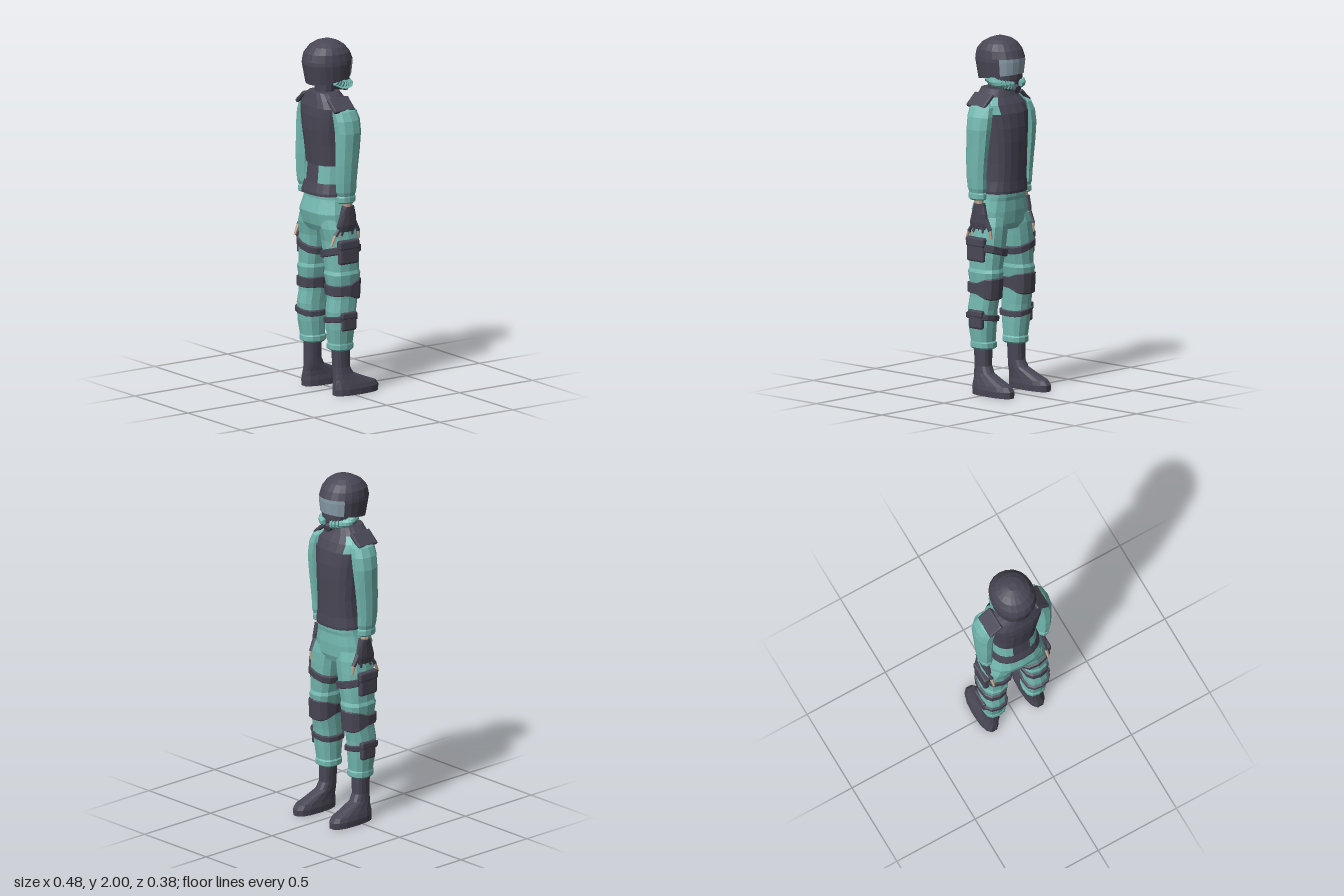
import * as THREE from 'three';
import { RoundedBoxGeometry } from 'three/addons/geometries/RoundedBoxGeometry.js';

const mat = (name, color) => {
  const m = new THREE.MeshStandardMaterial({ color, flatShading: true });
  m.name = name;
  return m;
};

// Closed skin over horizontal rings [y, centreX, radiusX, frontZ, backZ], listed bottom to top.
// pick(x, y, z) chooses a material index per face; warp(v) moves each corner.
function loft(rings, { n = 12, e = 2.3, pick = () => 0, warp = () => {} } = {}) {
  const pos = [], idx = [], geo = new THREE.BufferGeometry(), v = new THREE.Vector3();
  const pw = (t) => Math.sign(t) * Math.abs(t) ** (2 / e);
  for (const [y, cx, rx, zf, zb] of rings) {
    for (let j = 0; j < n; j++) {
      const a = (j / n) * Math.PI * 2;
      v.set(cx + rx * pw(Math.cos(a)), y, (zf + zb) / 2 + ((zb - zf) / 2) * pw(Math.sin(a)));
      warp(v);
      pos.push(v.x, v.y, v.z);
    }
  }
  const add = (m, ...f) => { geo.addGroup(idx.length, f.length, m); idx.push(...f); };
  for (let i = 0; i < rings.length - 1; i++) {
    for (let j = 0; j < n; j++) {
      const k = (j + 1) % n, a = i * n + j, b = i * n + k, c = a + n, d = b + n;
      const mid = [0, 1, 2].map((q) => (pos[a * 3 + q] + pos[b * 3 + q] + pos[c * 3 + q] + pos[d * 3 + q]) / 4);
      add(pick(...mid), a, c, b, b, c, d);
    }
  }
  const t = (rings.length - 1) * n;
  for (let j = 1; j < n - 1; j++) add(0, 0, j, j + 1, t, t + j + 1, t + j);
  geo.setIndex(idx);
  geo.setAttribute('position', new THREE.Float32BufferAttribute(pos, 3));
  const flat = geo.toNonIndexed();
  flat.computeVertexNormals();
  return flat;
}

// Tapered round segment between two points
function segment(a, b, r0, r1, sides = 6) {
  const p = new THREE.Vector3(...a), q = new THREE.Vector3(...b), d = q.clone().sub(p);
  const g = new THREE.CylinderGeometry(r1, r0, d.length(), sides);
  g.applyQuaternion(new THREE.Quaternion().setFromUnitVectors(new THREE.Vector3(0, 1, 0), d.normalize()));
  const c = p.add(q).multiplyScalar(0.5);
  return g.translate(c.x, c.y, c.z);
}

const LEG = [
  [0.255, 0.128, 0.056, -0.01, 0.108], [0.265, 0.128, 0.066, -0.022, 0.122], [0.29, 0.128, 0.066, -0.022, 0.122],
  [0.298, 0.13, 0.062, -0.016, 0.118], [0.38, 0.134, 0.068, -0.025, 0.13], [0.48, 0.135, 0.068, -0.035, 0.135],
  [0.55, 0.132, 0.066, -0.048, 0.125], [0.62, 0.13, 0.068, -0.058, 0.126], [0.69, 0.126, 0.08, -0.068, 0.138],
  [0.71, 0.124, 0.074, -0.06, 0.13], [0.78, 0.116, 0.082, -0.065, 0.132], [0.88, 0.106, 0.088, -0.068, 0.135],
  [0.95, 0.095, 0.088, -0.068, 0.15], [1.0, 0.085, 0.08, -0.06, 0.15],
];
function legAt(y) {
  const i = LEG.findIndex((r) => r[0] > y), a = LEG[i - 1], b = LEG[i], t = (y - a[0]) / (b[0] - a[0]);
  return a.map((v, k) => v + (b[k] - v) * t);
}

export function createModel() {
  const root = new THREE.Group();
  const dark = mat('charcoal', 0x494755), teal = mat('teal cloth', 0x74b9b1);
  const visor = mat('visor glass', 0x8b9fac), skin = mat('skin', 0xc0a690);
  const add = (name, geo, m) => {
    const mesh = new THREE.Mesh(geo, m);
    mesh.name = name;
    root.add(mesh);
    return mesh;
  };

  // Helmet with wraparound visor, facing -z
  add('helmet', loft([
    [1.755, 0, 0.114, -0.092, 0.168], [1.868, 0, 0.125, -0.1, 0.19], [1.888, 0, 0.124, -0.1, 0.189],
    [1.93, 0, 0.117, -0.082, 0.178], [1.966, 0, 0.095, -0.05, 0.145], [1.988, 0, 0.064, -0.016, 0.105],
    [2.0, 0, 0.025, 0.02, 0.07],
  ], {
    n: 20, e: 2.15,
    pick: (x, y, z) => (y < 1.885 && z < -0.035 ? 1 : 0),
    warp: (v) => { if (v.y < 1.8) v.y += (0.168 - v.z) * 0.17; },
  }), [dark, visor]);

  // Neck and breathing mask
  add('neck', loft([[1.64, 0, 0.07, 0.0, 0.14], [1.71, 0, 0.058, 0.01, 0.115], [1.8, 0, 0.06, -0.01, 0.12]]), dark);
  add('mask', loft([
    [1.705, 0, 0.03, -0.06, 0.0], [1.73, 0, 0.058, -0.078, 0.03], [1.77, 0, 0.085, -0.082, 0.05], [1.82, 0, 0.09, -0.08, 0.05],
  ]), dark);
  for (const s of [-1, 1]) {
    const hose = new THREE.CatmullRomCurve3([
      [0.088, 1.775, 0.05], [0.092, 1.752, 0.0], [0.066, 1.745, -0.052], [0.022, 1.74, -0.078],
    ].map(([x, y, z]) => new THREE.Vector3(s * x, y, z)));
    const N = 10;
    for (let i = 0; i < N; i++) {
      const a = hose.getPointAt(i / N).toArray(), b = hose.getPointAt((i + 1) / N).toArray();
      add('maskHoseRib', segment(a, b, 0.027, 0.019, 8), teal);
    }
  }
  add('maskFilter', segment([0, 1.725, -0.05], [0, 1.712, -0.09], 0.028, 0.024, 8), dark);

  // Vest with open lower back sides and cloth at the front of the shoulders
  add('vest', loft([
    [1.13, 0, 0.15, -0.088, 0.17], [1.145, 0, 0.15, -0.09, 0.17], [1.2, 0, 0.138, -0.088, 0.155],
    [1.3, 0, 0.134, -0.092, 0.145], [1.42, 0, 0.14, -0.096, 0.158], [1.5, 0, 0.148, -0.094, 0.168],
    [1.58, 0, 0.16, -0.082, 0.17], [1.63, 0, 0.165, -0.06, 0.165], [1.67, 0, 0.13, -0.032, 0.155],
    [1.71, 0, 0.085, -0.012, 0.148],
  ], {
    n: 20, e: 2.5,
    pick: (x, y, z) => {
      const backGap = y > 1.2 && y < 1.3 && z > 0.02 && Math.abs(x) > 0.04;
      const shoulderGap = y > 1.58 && y < 1.67 && z < 0.01 && Math.abs(x) > 0.1;
      return backGap || shoulderGap ? 1 : 0;
    },
  }), [dark, teal]);

  // Hips
  add('hips', loft([
    [0.925, 0, 0.15, -0.055, 0.14], [0.96, 0, 0.174, -0.068, 0.158], [1.03, 0, 0.168, -0.072, 0.172],
    [1.09, 0, 0.152, -0.07, 0.155], [1.11, 0, 0.148, -0.074, 0.15], [1.14, 0, 0.145, -0.074, 0.15],
  ], { n: 16, e: 2.5 }), teal);

  for (const s of [-1, 1]) {
    const side = (rings) => rings.map(([y, cx, ...r]) => [y, s * cx, ...r]);

    // Trouser leg and boot
    add('trouserLeg', loft(side(LEG), { n: 12, e: 2.6 }), teal);
    add('boot', loft(side([
      [0, 0.147, 0.056, -0.188, 0.105], [0.035, 0.147, 0.058, -0.19, 0.106], [0.06, 0.146, 0.053, -0.172, 0.104],
      [0.088, 0.142, 0.047, -0.1, 0.1], [0.12, 0.137, 0.043, -0.025, 0.098], [0.16, 0.134, 0.041, -0.002, 0.097],
      [0.28, 0.132, 0.045, -0.002, 0.1],
    ]), { n: 14, e: 2.5 }), dark);

    // Leg straps: tilt raises the outer side, grow makes the front taller
    const strap = (name, y, h, tilt, grow) => {
      const ring = (yy, out) => {
        const [, cx, rx, zf, zb] = legAt(yy);
        return [yy, cx, rx + out, zf - out, zb + out];
      };
      add(name, loft(side([
        ring(y - h / 2, 0.002), ring(y - h / 2 + 0.004, 0.011), ring(y + h / 2 - 0.004, 0.011), ring(y + h / 2, 0.002),
      ]), {
        e: 2.6,
        warp: (v) => {
          v.y = y + (v.y - y) * (1 + grow * THREE.MathUtils.smoothstep(-v.z, -0.05, 0.05));
          v.y += tilt * (v.x * s - 0.125);
        },
      }), dark);
    };
    strap('thighStrap', 0.815, 0.045, 0.28, 0);
    strap('kneePad', 0.6, 0.06, 0, 1.1);
    strap('calfStrap', 0.432, 0.035, 0.15, 0);

    // Leg pouches with flaps
    for (const [y, h, d] of [[0.82, 0.135, 0.125], [0.425, 0.105, 0.098]]) {
      add('pouch', new RoundedBoxGeometry(0.036, h, d, 1, 0.012).translate(s * 0.194, y, 0.042), dark);
      add('pouchFlap', new RoundedBoxGeometry(0.04, h * 0.4, d + 0.008, 1, 0.01).translate(s * 0.195, y + h * 0.32, 0.042), dark);
    }

    // Sleeve with gathered cuff
    add('sleeve', loft(side([
      [1.1, 0.18, 0.032, 0.0, 0.095], [1.108, 0.181, 0.039, -0.012, 0.106], [1.135, 0.181, 0.039, -0.012, 0.106],
      [1.142, 0.182, 0.036, -0.006, 0.1], [1.165, 0.183, 0.041, -0.014, 0.11], [1.22, 0.186, 0.042, -0.015, 0.115],
      [1.32, 0.187, 0.045, -0.025, 0.118], [1.4, 0.187, 0.047, -0.035, 0.116], [1.5, 0.183, 0.055, -0.045, 0.115],
      [1.57, 0.172, 0.055, -0.045, 0.118], [1.62, 0.155, 0.048, -0.035, 0.118], [1.65, 0.135, 0.03, 0.0, 0.1],
    ]), { n: 10, e: 2.1 }), teal);
    const pad = new RoundedBoxGeometry(0.1, 0.024, 0.14, 1, 0.009).rotateZ(-s * 0.72);
    add('shoulderPad', pad.translate(s * 0.148, 1.652, 0.058), dark);

    // Gloved hand with bare wrist and fingertips
    add('wrist', segment([s * 0.178, 1.06, 0.035], [s * 0.18, 1.12, 0.042], 0.024, 0.026, 8), skin);
    add('glove', loft(side([
      [0.935, 0.174, 0.016, -0.012, 0.1], [0.97, 0.176, 0.021, -0.025, 0.106], [1.02, 0.178, 0.022, -0.02, 0.088],
      [1.08, 0.178, 0.026, -0.004, 0.07],
    ]), { n: 10 }), dark);
    for (let i = 0; i < 4; i++) {
      const z = 0.005 + i * 0.028, dz = 0.002 + i * 0.008, low = 0.89 - i * 0.003;
      add('gloveFinger', segment([s * 0.175, 0.95, z], [s * 0.174, 0.915, z + dz], 0.013, 0.013), dark);
      add('fingertip', segment([s * 0.174, 0.918, z + dz], [s * 0.173, low - 0.02, z + dz * 2], 0.011, 0.007), skin);
    }
    add('gloveThumb', segment([s * 0.174, 0.995, -0.005], [s * 0.172, 0.93, -0.042], 0.018, 0.013), dark);
    add('thumbTip', segment([s * 0.172, 0.932, -0.041], [s * 0.17, 0.885, -0.048], 0.011, 0.007), skin);
  }
  return root;
}
